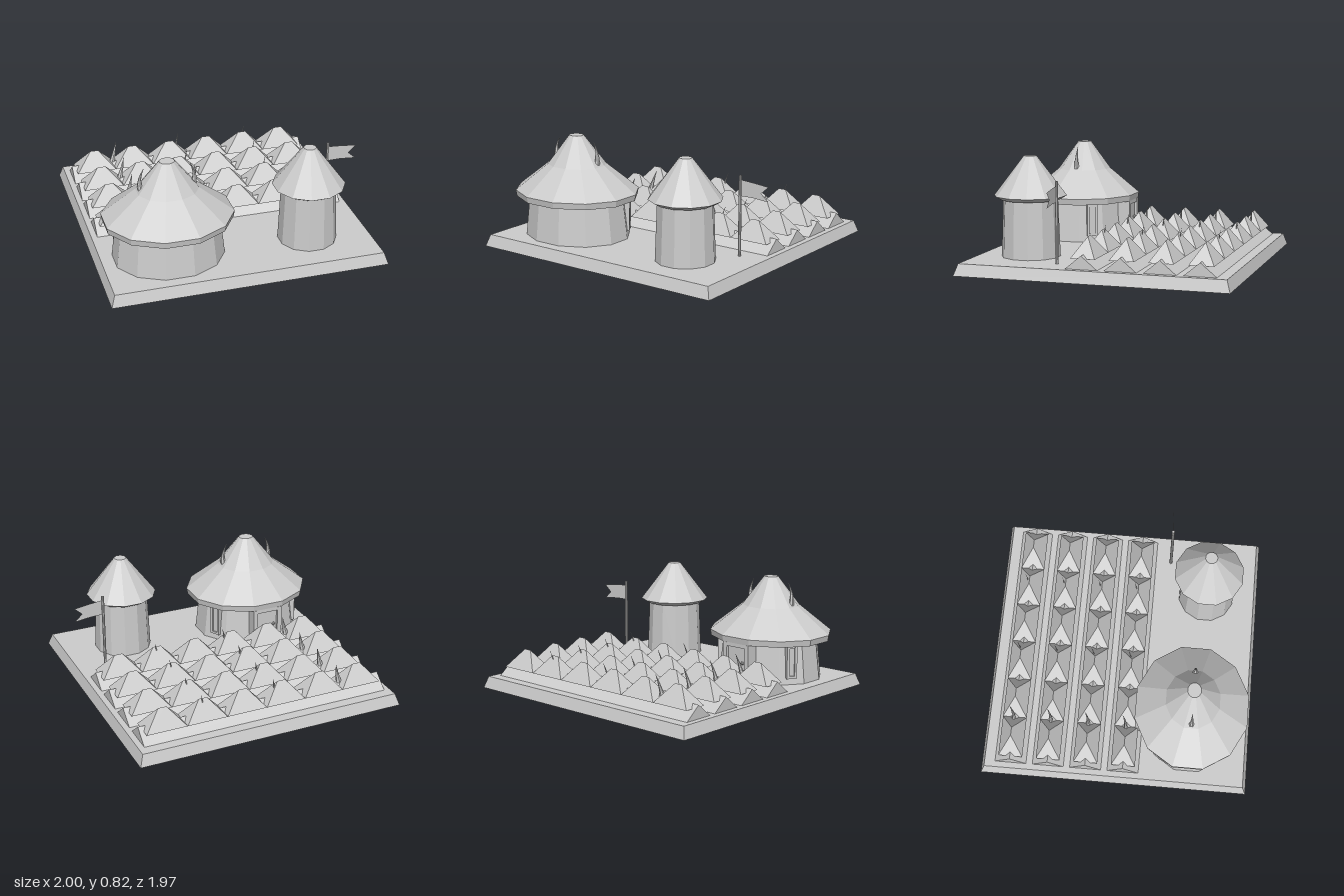
import * as THREE from 'three';

// Thin open shells throughout, so both sides show
const stone = new THREE.MeshStandardMaterial({ color: 0xcccccc, flatShading: true, side: THREE.DoubleSide });
stone.name = 'plain grey';

function add(parent, name, geometry, x = 0, y = 0, z = 0) {
  const mesh = new THREE.Mesh(geometry, stone);
  mesh.name = name;
  mesh.position.set(x, y, z);
  parent.add(mesh);
  return mesh;
}

// Open-bottomed box standing on y = 0 whose top is narrowed to topW x topD
function taperBox(w, h, d, topW, topD) {
  const g = new THREE.BoxGeometry(w, h, d).translate(0, h / 2, 0);
  const p = g.attributes.position;
  for (let i = 0; i < p.count; i++) {
    if (p.getY(i) > h / 2) {
      p.setX(i, Math.sign(p.getX(i)) * topW / 2);
      p.setZ(i, Math.sign(p.getZ(i)) * topD / 2);
    }
  }
  // leave out the fourth face, the bottom
  g.setIndex(Array.from(g.index.array).filter((_, i) => i < 18 || i >= 24));
  g.clearGroups();
  g.computeVertexNormals();
  return g;
}

// Twelve-sided turned shape, flats facing the axes
function turned(profile, zScale = 1) {
  const pts = profile.map(([r, y]) => new THREE.Vector2(r, y));
  return new THREE.LatheGeometry(pts, 12, Math.PI / 12).scale(1, 1, zScale);
}

// Pointed spike that bulges sideways and leans towards its tip
function spike(r, h, bulge, leanX, leanZ, flat = 1) {
  const g = new THREE.CylinderGeometry(0.001, r, h, 6, 5).translate(0, h / 2, 0);
  const p = g.attributes.position;
  for (let i = 0; i < p.count; i++) {
    const t = p.getY(i) / h;
    p.setX(i, p.getX(i) + bulge * Math.sin(Math.PI * t) + leanX * t);
    p.setZ(i, p.getZ(i) * flat + leanZ * t * t);
  }
  g.computeVertexNormals();
  return g;
}

const GROUND = 0.085;

function makeField() {
  const field = new THREE.Group();
  field.name = 'field';
  for (let row = 0; row < 4; row++) {
    const z = 0.068 - row * 0.277;
    add(field, 'furrow', taperBox(1.86, 0.095, 0.23, 1.86, 0), 0, GROUND, z);
    for (let i = 0; i < 6; i++) {
      add(field, 'crop', taperBox(0.3, 0.138, 0.176, 0.06, 0), -0.75 + i * 0.3, 0.152, z);
    }
    // sprouts shrink along the row
    [[-0.615, 0.024], [-0.115, 0.016], [0.43, 0.011]].forEach(([x, r]) =>
      add(field, 'sprout', spike(r, 0.165, 0, 0.045, -0.025, 0.6), x, 0.165, z - 0.004));
  }
  return field;
}

function makeHut() {
  const hut = new THREE.Group();
  hut.name = 'hut';
  hut.position.set(-0.492, 0, 0.534);
  add(hut, 'hutWall', turned([[0.402, GROUND], [0.368, 0.38]], 0.87));
  add(hut, 'hutRoof', turned([
    [0.36, 0.375], [0.462, 0.375], [0.47, 0.42], [0.222, 0.61], [0.055, 0.82], [0, 0.82],
  ], 0.895));

  for (const s of [-1, 1]) {
    add(hut, 'horn', spike(0.024, 0.185, s * 0.022, -s * 0.02, 0), s * 0.182, 0.6, 0);

    // narrow framed window on each rear side
    const win = new THREE.Group();
    win.name = 'sideWindow';
    win.position.set(s * 0.322, 0.25, -0.166);
    win.rotation.y = Math.PI - s * Math.PI / 3;
    add(win, 'windowPane', new THREE.BoxGeometry(0.06, 0.22, 0.03));
    for (const k of [-1, 1]) {
      add(win, 'windowJamb', new THREE.BoxGeometry(0.018, 0.24, 0.055), k * 0.03, 0, 0);
      add(win, 'windowRail', new THREE.BoxGeometry(0.06, 0.018, 0.05), 0, k * 0.111, 0);
    }
    hut.add(win);
  }

  // rear doorway
  const door = new THREE.Group();
  door.name = 'doorway';
  door.position.set(0, GROUND, -0.357);
  for (const k of [-1, 1]) {
    add(door, 'doorPost', new THREE.BoxGeometry(0.035, 0.29, 0.09), k * 0.1, 0.145, 0);
  }
  add(door, 'doorLintel', new THREE.BoxGeometry(0.235, 0.035, 0.085), 0, 0.28, 0);
  add(door, 'doorPanel', new THREE.BoxGeometry(0.17, 0.27, 0.05), 0, 0.135, 0);
  add(door, 'doorKnob', new THREE.IcosahedronGeometry(0.014, 0), -0.055, 0.15, -0.032);
  hut.add(door);
  return hut;
}

function makeTower() {
  const tower = new THREE.Group();
  tower.name = 'tower';
  tower.position.set(0.523, 0, 0.588);
  add(tower, 'towerWall', turned([[0.212, GROUND], [0.196, 0.5]]));
  add(tower, 'towerRoof', turned([[0.19, 0.495], [0.215, 0.495], [0.26, 0.522], [0.045, 0.805], [0, 0.805]]));
  return tower;
}

function makeFlag() {
  const flag = new THREE.Group();
  flag.name = 'flag';
  flag.position.set(0.773, 0, 0.297);
  add(flag, 'flagPole', new THREE.CylinderGeometry(0.011, 0.011, 0.575, 8), 0, GROUND + 0.2875, 0);
  // swallow-tailed pennant
  const shape = new THREE.Shape([[0.008, 0.63], [0.008, 0.515], [0.1, 0.515], [0.222, 0.503],
    [0.165, 0.555], [0.222, 0.608], [0.1, 0.622]].map(([x, y]) => new THREE.Vector2(x, y)));
  const pennant = new THREE.ShapeGeometry(shape);
  const p = pennant.attributes.position;
  for (let i = 0; i < p.count; i++) p.setZ(i, -0.05 * p.getX(i));
  pennant.computeVertexNormals();
  add(flag, 'pennant', pennant);
  return flag;
}

export function createModel() {
  const model = new THREE.Group();
  model.name = 'farmstead';
  add(model, 'base', taperBox(2, GROUND, 1.965, 1.945, 1.91));
  model.add(makeField(), makeHut(), makeTower(), makeFlag());
  return model;
}
